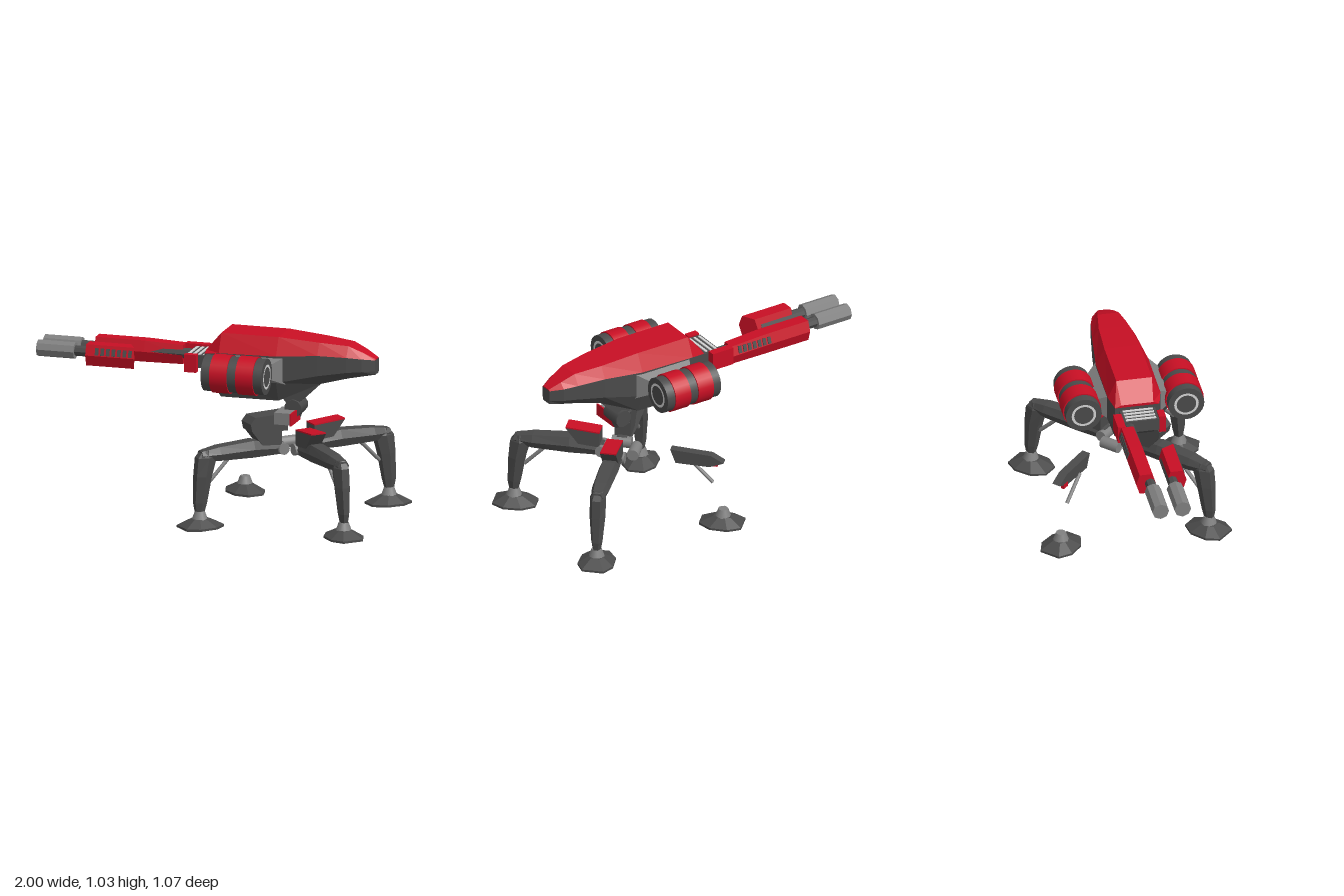
import * as THREE from 'three';

const mat = (name, color) => Object.assign(new THREE.MeshStandardMaterial({ color }), { name });

// Closed flat-shaded solid through equal-length rings of [x, y, z] points
function loft(rings) {
  const tris = [], n = rings[0].length, last = rings.length - 1;
  for (let r = 0; r < last; r++) {
    for (let i = 0; i < n; i++) {
      const j = (i + 1) % n, a = rings[r], b = rings[r + 1];
      tris.push([a[i], a[j], b[j]], [a[i], b[j], b[i]]);
    }
  }
  for (let i = 1; i < n - 1; i++) {
    tris.push([rings[0][0], rings[0][i + 1], rings[0][i]]);
    tris.push([rings[last][0], rings[last][i], rings[last][i + 1]]);
  }
  // Turn every face outward if the solid is inside out
  let volume = 0;
  for (const [a, b, c] of tris) {
    volume += a[0] * (b[1] * c[2] - b[2] * c[1]) - a[1] * (b[0] * c[2] - b[2] * c[0]) + a[2] * (b[0] * c[1] - b[1] * c[0]);
  }
  if (volume < 0) tris.forEach(t => t.reverse());
  const g = new THREE.BufferGeometry();
  g.setAttribute('position', new THREE.Float32BufferAttribute(tris.flat(2), 3));
  g.computeVertexNormals();
  return g;
}

// Side profile in x, y given a thickness along z
const prism = (pts, z0, z1) => loft([z0, z1].map(z => pts.map(([x, y]) => [x, y, z])));

// Six-sided cross-sections: across x, and across y
const sectionX = (x, y0, y1, w, zc = 0, k = 0.65) => {
  const m = (y0 + y1) / 2;
  return [[x, y0, zc - w * k], [x, m, zc - w], [x, y1, zc - w * k], [x, y1, zc + w * k], [x, m, zc + w], [x, y0, zc + w * k]];
};
const sectionY = (y, x0, x1, w) => {
  const m = (x0 + x1) / 2;
  return [[x0, y, -w * 0.6], [m, y, -w], [x1, y, -w * 0.5], [x1, y, w * 0.5], [m, y, w], [x0, y, w * 0.6]];
};

export function createModel() {
  const dark = mat('dark armour', 0x4a4a4a);
  const red = mat('red armour', 0xc80f24);
  const gray = mat('bare metal', 0x808080);
  const white = mat('pale trim', 0xd2d2d2);
  const root = new THREE.Group();
  root.name = 'walkerTurret';

  const add = (parent, name, geometry, material) => {
    const m = new THREE.Mesh(geometry, material);
    m.name = name;
    parent.add(m);
    return m;
  };
  const box = (parent, name, material, x0, x1, y0, y1, z0, z1) => {
    const m = add(parent, name, new THREE.BoxGeometry(x1 - x0, y1 - y0, z1 - z0), material);
    m.position.set((x0 + x1) / 2, (y0 + y1) / 2, (z0 + z1) / 2);
    return m;
  };
  const rodX = (parent, name, material, x0, x1, r, y, z, sides) => {
    const g = new THREE.CylinderGeometry(r, r, x1 - x0, sides);
    const m = add(parent, name, sides < 12 ? g.toNonIndexed() : g, material);
    if (sides < 12) m.geometry.computeVertexNormals();
    m.rotation.z = Math.PI / 2;
    m.position.set((x0 + x1) / 2, y, z);
    return m;
  };

  // Hull stations: x, top y, top z, shoulder y, shoulder z, waist y, bottom y, bottom z
  const hull = [
    [-0.02, 0.925, 0.09, 0.91, 0.125, 0.81, 0.79, 0.10],
    [0.07, 1.03, 0.10, 0.925, 0.148, 0.78, 0.67, 0.11],
    [0.40, 1.03, 0.10, 0.93, 0.148, 0.78, 0.67, 0.105],
    [0.63, 1.012, 0.085, 0.945, 0.122, 0.83, 0.775, 0.08],
    [0.79, 0.998, 0.06, 0.94, 0.098, 0.855, 0.815, 0.06],
    [0.87, 0.963, 0.045, 0.932, 0.075, 0.86, 0.83, 0.05],
    [0.937, 0.928, 0.025, 0.922, 0.035, 0.86, 0.84, 0.03],
  ];
  add(root, 'hullRoof', loft(hull.map(([x, yt, zt, ys, zs]) =>
    [[x, ys, -zs], [x, yt, -zt], [x, yt, zt], [x, ys, zs]])), red);
  add(root, 'hullBody', loft(hull.map(([x, , , ys, zs, yw, yb, zb]) =>
    [[x, ys, -zs], [x, ys, zs], [x, yw, zs], [x, yb, zb], [x, yb, -zb], [x, yw, -zs]])), dark);

  // Neck and pivot under the hull
  add(root, 'neck', prism([[0.40, 0.68], [0.50, 0.80], [0.65, 0.80], [0.62, 0.765], [0.51, 0.66], [0.45, 0.62]], -0.05, 0.05), dark);
  const pivot = add(root, 'pivot', new THREE.CylinderGeometry(0.05, 0.05, 0.13, 10), dark);
  pivot.rotation.x = Math.PI / 2;
  pivot.position.set(0.47, 0.62, 0);
  add(root, 'pivotFoot', new THREE.CylinderGeometry(0.04, 0.02, 0.05, 8), dark).position.set(0.47, 0.57, 0);
  box(root, 'hipBlock', gray, 0.39, 0.486, 0.545, 0.612, 0, 0.15);
  box(root, 'hipPlate', red, 0.486, 0.494, 0.545, 0.615, 0, 0.17);

  // Side pods with banded drums
  for (const s of [-1, 1]) {
    const pod = new THREE.Group();
    pod.name = s > 0 ? 'leftPod' : 'rightPod';
    root.add(pod);
    const y = 0.848, z = s * 0.288;
    rodX(pod, 'podCore', dark, 0.04, 0.39, 0.101, y, z, 28);
    for (const x of [0.09, 0.24]) rodX(pod, 'podBand', red, x, x + 0.1, 0.108, y, z, 28);
    for (const [x, turn] of [[0.392, 1], [0.038, -1]]) {
      const ring = add(pod, 'podRing', new THREE.RingGeometry(0.055, 0.069, 28), white);
      ring.position.set(x, y, z);
      ring.rotation.y = turn * Math.PI / 2;
    }
    add(pod, 'podBracket', loft([
      [[0.08, 0.77, s * 0.13], [0.45, 0.77, s * 0.13], [0.45, 0.93, s * 0.13], [0.08, 0.93, s * 0.13]],
      [[0.12, 0.81, s * 0.20], [0.38, 0.81, s * 0.20], [0.38, 0.89, s * 0.20], [0.12, 0.89, s * 0.20]],
    ]), gray);
  }

  // Gun mount with pale ribs
  box(root, 'gunMount', dark, -0.14, 0, 0.82, 0.89, -0.1, 0.1);
  for (let i = 0; i < 4; i++) {
    box(root, 'mountRib', white, -0.13 + i * 0.03, -0.116 + i * 0.03, 0.889, 0.895, -0.085, 0.085);
  }

  // Twin barrels
  for (const z of [-0.067, 0.057]) {
    rodX(root, 'muzzle', gray, -1, -0.785, 0.047, 0.853, z, 8);
    rodX(root, 'barrel', dark, -0.79, -0.5, 0.03, 0.853, z, 8);
  }
  rodX(root, 'innerBarrel', dark, -0.5, -0.1, 0.03, 0.853, -0.067, 8);

  // Gun shrouds: the right one runs to the mount, the left one is broken off
  add(root, 'rightShroud', loft([
    sectionX(-0.705, 0.79, 0.91, 0.055, -0.09), sectionX(-0.42, 0.79, 0.91, 0.055, -0.09),
    sectionX(-0.20, 0.792, 0.90, 0.052, -0.092),
  ]), red);
  box(root, 'rightShroudArm', red, -0.2, -0.065, 0.80, 0.902, -0.145, -0.10);
  const stump = sectionX(-0.42, 0.79, 0.91, 0.055, 0.083);
  stump.forEach(p => { p[0] -= (0.138 - p[2]) * 0.5; });
  add(root, 'leftShroud', loft([sectionX(-0.705, 0.79, 0.91, 0.055, 0.083), stump]), red);
  box(root, 'leftShroudRemnant', red, -0.135, -0.065, 0.80, 0.90, 0.1, 0.138);

  // Vent slots lie on the slanted upper sides of the shrouds
  const slot = (x, z, s) => {
    const m = add(root, 'ventSlot', new THREE.BoxGeometry(0.02, 0.04, 0.006), dark);
    m.position.set(x, 0.874, z + s * 0.0475);
    m.rotation.x = -s * 0.31;
  };
  for (let i = 0; i < 7; i++) {
    slot(-0.64 + i * 0.032, 0.083, 1);
    slot(-0.44 + i * 0.032, -0.091, -1);
  }

  // Legs: local +x points outward from the centre of the stance
  const footRing = (y, k) => [[0.46, 0.045], [0.53, 0.095], [0.63, 0.1], [0.70, 0.06], [0.70, -0.06], [0.63, -0.1], [0.53, -0.095], [0.46, -0.045]]
    .map(([x, z]) => [0.59 + (x - 0.59) * k, y, z * k]);

  function leg(sx, sz) {
    const g = new THREE.Group();
    g.name = (sx > 0 ? 'outer' : 'inner') + (sz > 0 ? 'FrontLeg' : 'BackLeg');
    g.position.x = 0.46;
    g.rotation.y = Math.atan2(-sz, sx);
    root.add(g);
    const broken = sx < 0 && sz < 0;

    add(g, 'foot', loft([footRing(0, 1), footRing(0.012, 1), footRing(0.05, 0.4)]), dark);
    add(g, 'ankle', new THREE.CylinderGeometry(0.028, 0.046, 0.05, 10), gray).position.set(0.588, 0.067, 0);
    const hip = add(g, 'hipJoint', new THREE.CylinderGeometry(0.033, 0.033, 0.11, 16), gray);
    hip.rotation.x = Math.PI / 2;
    hip.position.set(0.09, 0.397, 0);

    // Piston between thigh and shin
    const a = new THREE.Vector3(0.40, 0.38, 0), b = new THREE.Vector3(0.53, 0.25, 0);
    add(g, 'piston', new THREE.TubeGeometry(new THREE.LineCurve3(a, b), 1, 0.011, 8), gray);

    if (broken) {
      // Only a split piece of the thigh remains on this leg
      add(g, 'brokenThigh', prism([[0.33, 0.375], [0.30, 0.455], [0.53, 0.44], [0.60, 0.40], [0.52, 0.37]], 0, 0.05), dark);
      box(g, 'brokenEdge', red, 0.52, 0.56, 0.36, 0.39, 0.0, 0.02);
      return;
    }
    add(g, 'thigh', loft([
      sectionX(0.08, 0.365, 0.43, 0.042), sectionX(0.27, 0.365, 0.46, 0.055),
      sectionX(0.48, 0.37, 0.448, 0.05), sectionX(0.585, 0.385, 0.43, 0.034),
    ]), dark);
    add(g, 'shin', loft([
      sectionY(0.435, 0.53, 0.575, 0.03), sectionY(0.395, 0.495, 0.607, 0.045), sectionY(0.29, 0.525, 0.617, 0.045),
      sectionY(0.14, 0.552, 0.622, 0.032), sectionY(0.085, 0.565, 0.613, 0.022),
    ]), dark);

    // Hip bracket, cut short with a red top on the outer pair
    add(g, 'hipBracket', prism([[0.10, 0.42], [0.22, 0.43], [0.29, 0.52], [0.10, 0.505]], -0.045, 0.045), dark);
    if (sx > 0) {
      add(g, 'bracketCap', prism([[0.10, 0.505], [0.29, 0.52], [0.29, 0.528], [0.10, 0.513]], -0.045, 0.045), red);
    } else {
      add(g, 'upperBracket', prism([[0.07, 0.50], [0.29, 0.515], [0.30, 0.56], [0.27, 0.595], [0.07, 0.60]], -0.055, 0.055), dark);
    }
  }
  for (const sx of [-1, 1]) for (const sz of [-1, 1]) leg(sx, sz);

  return root;
}
